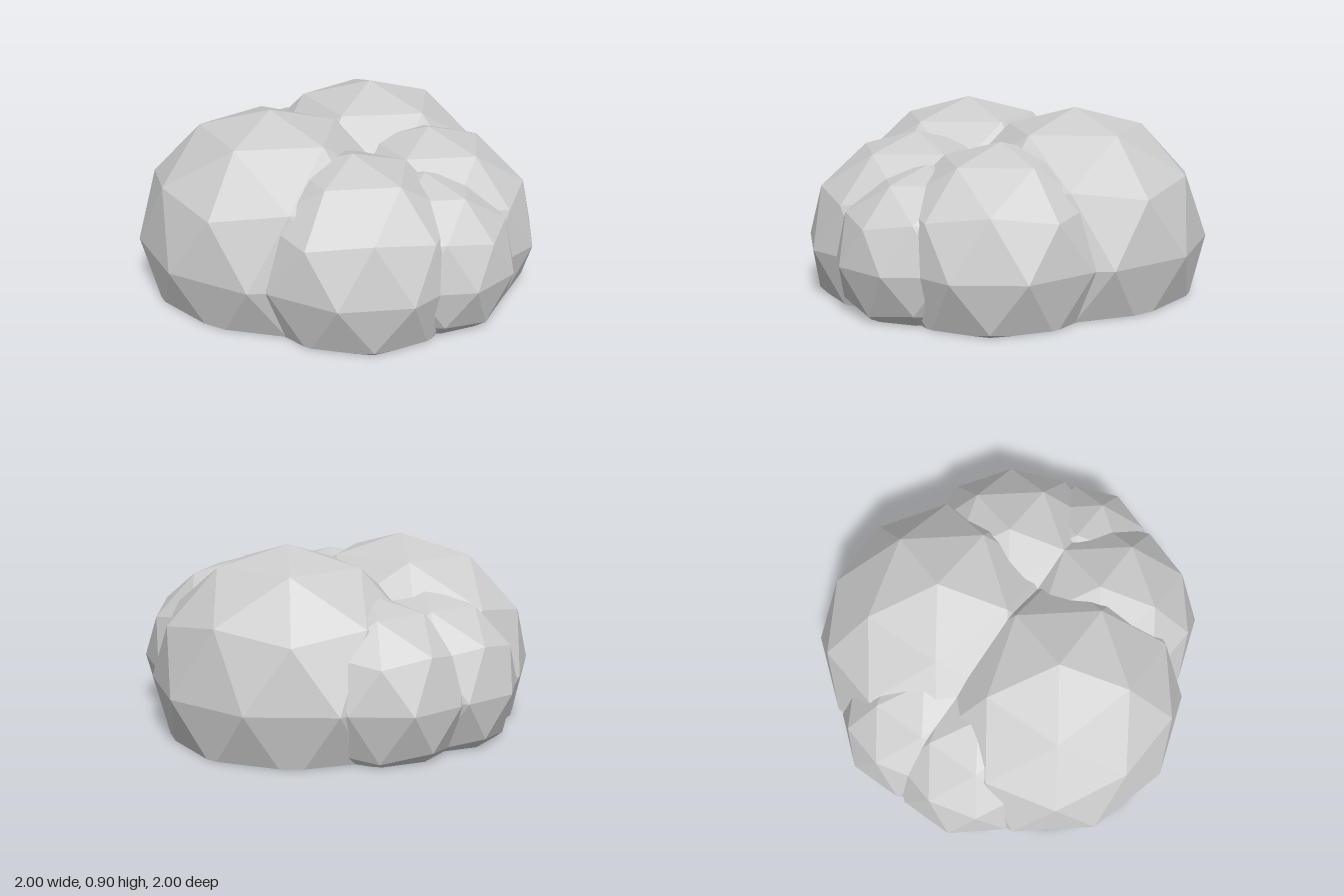
import * as THREE from 'three';

// Unit low-poly sphere turned so one corner points up and the upper ring has a corner toward +x
function unitBall() {
  const ball = new THREE.IcosahedronGeometry(1, 1);
  ball.rotateZ(-Math.atan(2 / (1 + Math.sqrt(5))));
  return ball;
}

// Ellipsoid lobe sliced flat at y = 0, with a closed base
function lobeGeometry(center, radii) {
  const ball = unitBall().scale(...radii).translate(...center);
  const src = ball.attributes.position;
  const baseCenter = new THREE.Vector3(center[0], 0, center[2]);
  const out = [];
  const push = (...pts) => pts.forEach((p) => out.push(p.x, p.y, p.z));

  for (let i = 0; i < src.count; i += 3) {
    const tri = [0, 1, 2].map((k) => new THREE.Vector3().fromBufferAttribute(src, i + k));
    const poly = [];
    let enter = null, leave = null;
    tri.forEach((a, k) => {
      const b = tri[(k + 1) % 3];
      if (a.y >= 0) poly.push(a);
      if ((a.y >= 0) !== (b.y >= 0)) {
        const cut = a.clone().lerp(b, a.y / (a.y - b.y));
        cut.y = 0;
        poly.push(cut);
        if (a.y >= 0) leave = cut; else enter = cut;
      }
    });
    for (let k = 1; k + 1 < poly.length; k++) push(poly[0], poly[k], poly[k + 1]);
    // wedge of the flat base
    if (enter && leave) push(enter, leave, baseCenter);
  }

  const geo = new THREE.BufferGeometry();
  geo.setAttribute('position', new THREE.Float32BufferAttribute(out, 3));
  geo.computeVertexNormals();
  return geo;
}

export function createModel() {
  const group = new THREE.Group();
  group.name = 'lobedMound';

  const stone = new THREE.MeshStandardMaterial({ color: 0xcccccc, flatShading: true });
  stone.name = 'paleGrey';

  const addLobe = (name, center, radii) => {
    const mesh = new THREE.Mesh(lobeGeometry(center, radii), stone);
    mesh.name = name;
    group.add(mesh);
  };

  // Paired lobes, mirrored front to back
  for (const [side, s] of [['Front', 1], ['Back', -1]]) {
    addLobe('largeLobe' + side, [-0.14, 0.25, 0.35 * s], [0.705, 0.65, 0.65]);
    addLobe('mediumLobe' + side, [0.34, 0.25, 0.27 * s], [0.58, 0.53, 0.54]);
    addLobe('smallLobe' + side, [-0.53, 0.25, 0.16 * s], [0.494, 0.44, 0.44]);
  }

  // Single lobe on the centre line
  addLobe('endLobe', [0.553, 0.25, 0], [0.47, 0.42, 0.43]);

  return group;
}
